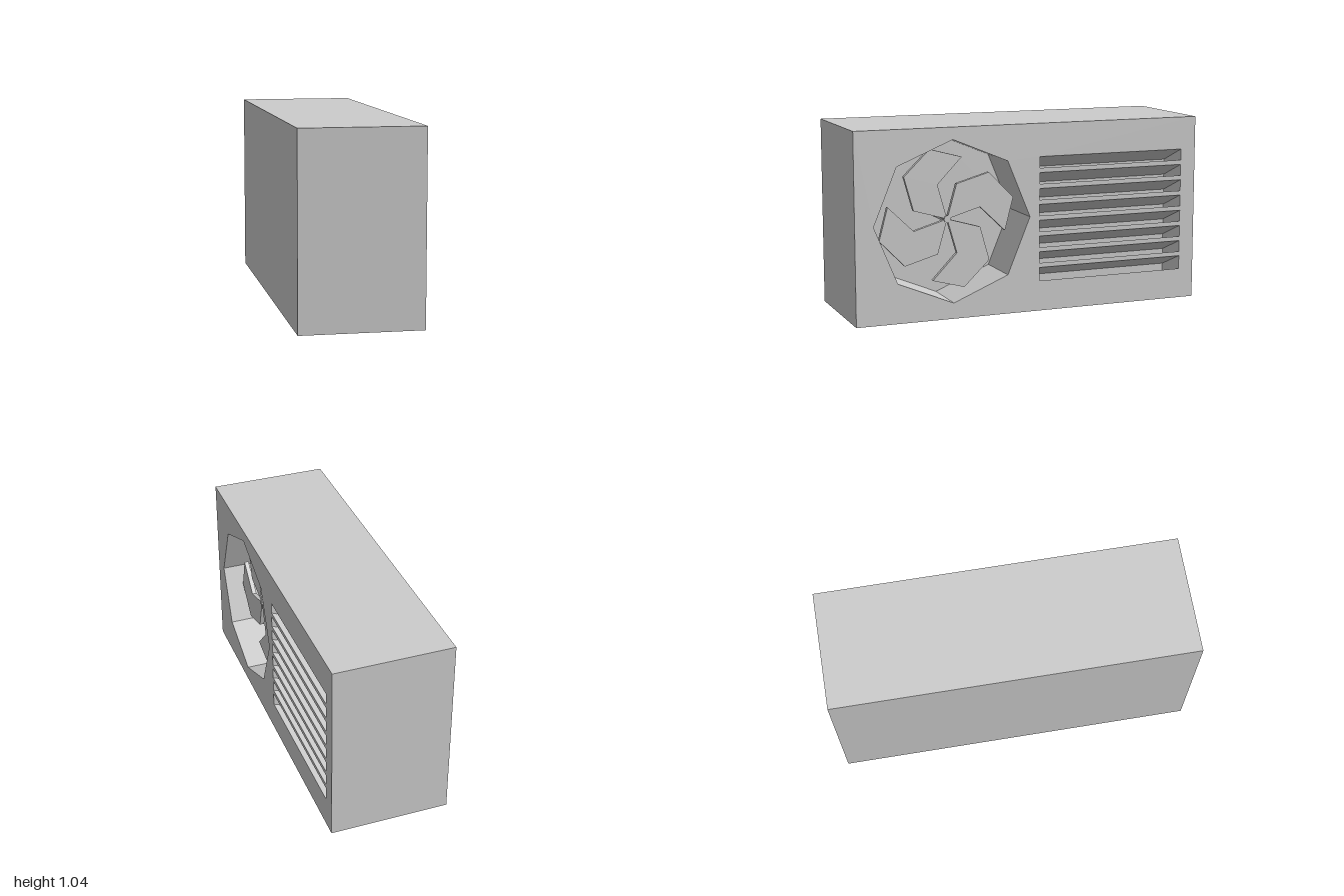
import * as THREE from 'three';

const W = 0.66, H = 1.04, L = 2;      // width, height, length
const FACE = W / 2;                   // depth position of the panel
const FAN = { x: -0.455, y: 0.53, r: 0.443, depth: 0.3 };

const material = new THREE.MeshStandardMaterial({ color: 0xcccccc, flatShading: true });

function addMesh(parent, geometry, name) {
  const mesh = new THREE.Mesh(geometry, material);
  mesh.name = name;
  parent.add(mesh);
  return mesh;
}

// Pocket sunk behind a counter-clockwise outline; drop slants it downwards
function addRecess(parent, outline, depth, drop, name) {
  const pos = [];
  const front = p => [p.x, p.y, FACE];
  const back = p => [p.x, p.y - drop, FACE - depth];
  outline.forEach((a, i) => {
    const b = outline[(i + 1) % outline.length];
    pos.push(...front(a), ...front(b), ...back(b), ...front(a), ...back(b), ...back(a));
  });
  const walls = new THREE.BufferGeometry();
  walls.setAttribute('position', new THREE.Float32BufferAttribute(pos, 3));
  walls.computeVertexNormals();
  const group = new THREE.Group();
  group.name = name;
  parent.add(group);
  addMesh(group, walls, name + 'Walls');
  const floor = new THREE.ShapeGeometry(new THREE.Shape(outline));
  addMesh(group, floor.translate(0, -drop, FACE - depth), name + 'Floor');
}

const rectangle = (x0, x1, y0, y1) => [
  new THREE.Vector2(x0, y0), new THREE.Vector2(x1, y0),
  new THREE.Vector2(x1, y1), new THREE.Vector2(x0, y1),
];

export function createModel() {
  const model = new THREE.Group();
  model.name = 'airConditionerUnit';
  // Built facing +z, then turned so that the panel faces +x
  const unit = new THREE.Group();
  unit.name = 'unit';
  unit.rotation.y = Math.PI / 2;
  model.add(unit);

  // Casing: a box without its panel side (indices 24 to 29)
  const casing = new THREE.BoxGeometry(L, H, W).translate(0, H / 2, 0);
  const index = Array.from(casing.index.array);
  index.splice(24, 6);
  casing.setIndex(index);
  casing.clearGroups();
  addMesh(unit, casing, 'casing');

  // Outlines of the octagonal fan opening and the eight vent slots
  const fanOutline = Array.from({ length: 8 }, (_, i) => {
    const a = i * Math.PI / 4;
    return new THREE.Vector2(FAN.x + FAN.r * Math.cos(a), FAN.y + FAN.r * Math.sin(a));
  });
  const slots = [];
  for (let i = 0; i < 8; i++) {
    const y = 0.206 + i * 0.0879;
    slots.push(rectangle(0.045, 0.912,
      i === 0 ? 0.168 : y - 0.026, i === 7 ? 0.858 : y + 0.037));
  }

  // Panel with openings
  const panel = new THREE.Shape(rectangle(-L / 2, L / 2, 0, H));
  for (const outline of [fanOutline, ...slots]) panel.holes.push(new THREE.Path(outline));
  addMesh(unit, new THREE.ShapeGeometry(panel).translate(0, 0, FACE), 'panel');

  addRecess(unit, fanOutline, FAN.depth, 0, 'fanWell');
  slots.forEach((s, i) => addRecess(unit, s, 0.2, 0.083, 'ventSlot' + (i + 1)));

  // Fan: four hooked blades on a thin shaft
  const fan = new THREE.Group();
  fan.name = 'fan';
  fan.position.set(FAN.x, FAN.y, 0);
  unit.add(fan);
  const blade = new THREE.Shape([
    [0, 0], [-0.055, 0.19], [0.085, 0.335], [-0.097, 0.384], [-0.243, 0.242], [-0.19, 0.055],
  ].map(p => new THREE.Vector2(...p)));
  const bladeGeometry = new THREE.ExtrudeGeometry(blade, { depth: 0.025, bevelEnabled: false });
  for (let i = 0; i < 4; i++) {
    const mesh = addMesh(fan, bladeGeometry, 'blade' + (i + 1));
    mesh.position.z = FACE - 0.125;
    mesh.rotation.z = i * Math.PI / 2;
  }
  const shaftLength = FAN.depth - 0.095;
  const shaft = new THREE.CylinderGeometry(0.02, 0.02, shaftLength, 8).rotateX(Math.PI / 2);
  addMesh(fan, shaft, 'shaft').position.z = FACE - FAN.depth + shaftLength / 2;

  return model;
}
